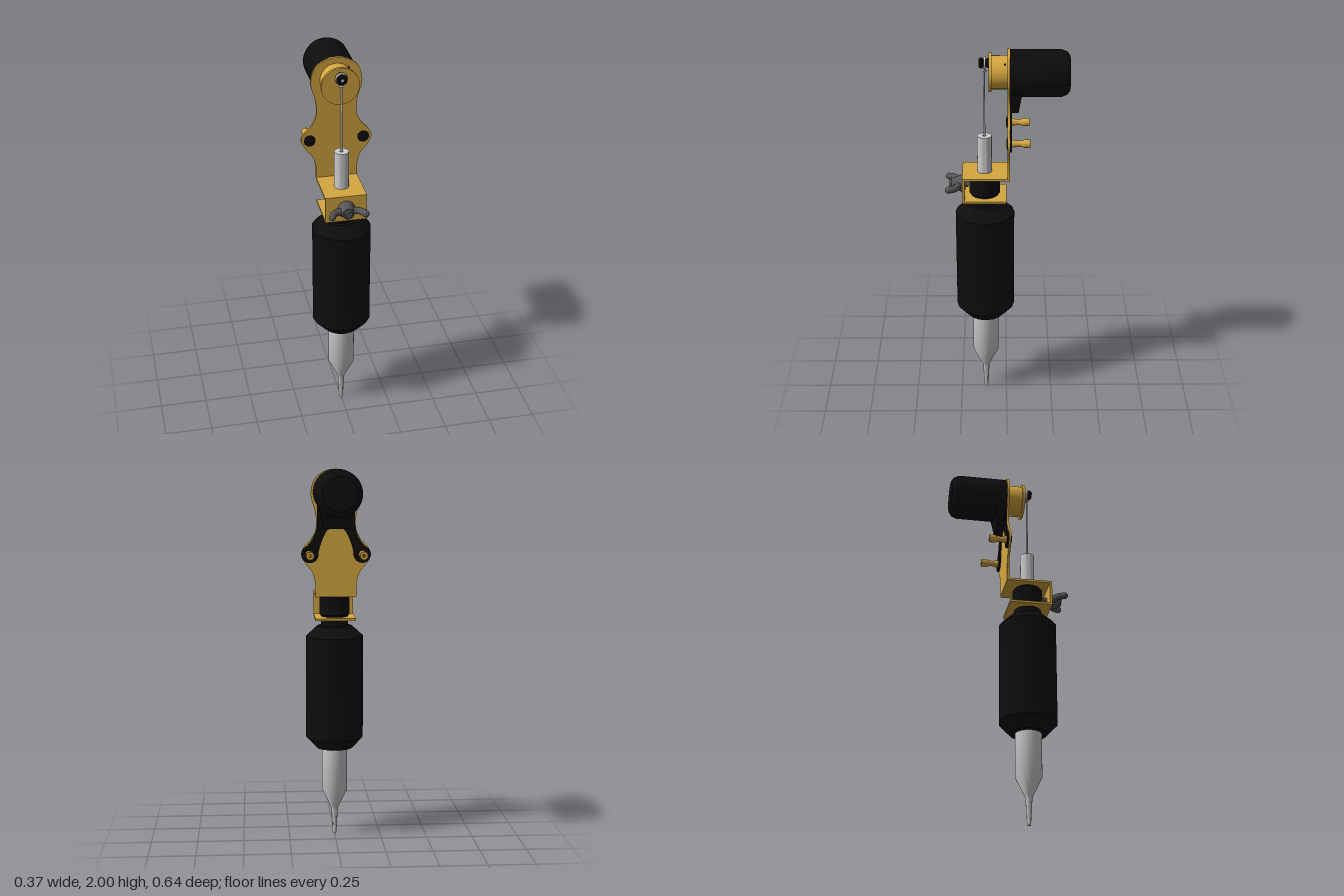
import * as THREE from 'three';
import { toCreasedNormals } from 'three/addons/utils/BufferGeometryUtils.js';

const mat = (color) => new THREE.MeshStandardMaterial({ color });
const V2 = (p) => new THREE.Vector2(p[0], p[1]);
const V3 = (p) => new THREE.Vector3(...p);

export function createModel() {
  const root = new THREE.Group();
  const gold = mat(0xd6a740), black = mat(0x0d0d0d), steel = mat(0xcccccc), darkSteel = mat(0x555555);
  const AXIS_Z = 0.114; // z of the grip and needle axis

  function add(name, geo, material, x = 0, y = 0, z = 0, parent = root) {
    const m = new THREE.Mesh(geo, material);
    m.name = name;
    m.position.set(x, y, z);
    parent.add(m);
    return m;
  }
  // turned part: [radius, height] pairs from bottom to top
  const turned = (pts, seg = 32) =>
    toCreasedNormals(new THREE.LatheGeometry(pts.map(V2), seg), 0.5);
  // turned part lying along z: [radius, z] pairs from back to front
  const turnedZ = (pts, seg = 32) => turned(pts, seg).rotateX(Math.PI / 2);
  const plate = (shape, depth) =>
    toCreasedNormals(new THREE.ExtrudeGeometry(shape, { depth, bevelEnabled: false, curveSegments: 20 }), 0.5);
  const tube = (pts, r, n = 24, sides = 12) =>
    new THREE.TubeGeometry(new THREE.CatmullRomCurve3(pts.map(V3)), n, r, sides);

  // Tip, grip and neck on the needle axis
  add('tip', turned([[0, 0], [0.009, 0], [0.012, 0.03], [0.018, 0.14], [0.022, 0.155],
    [0.07, 0.255], [0.07, 0.5], [0, 0.5]]), steel, 0, 0, AXIS_Z);
  add('grip', turned([[0, 0.49], [0.1, 0.49], [0.155, 0.55], [0.155, 1.105], [0.095, 1.16], [0, 1.16]], 16),
    black, 0, 0, AXIS_Z);
  add('neck', turned([[0, 1.15], [0.072, 1.15], [0.072, 1.2], [0.072, 1.225], [0, 1.225]]), black, 0, 0, AXIS_Z);
  add('collar', turned([[0, 1.214], [0.07, 1.214], [0.08, 1.224], [0.08, 1.318], [0.07, 1.329], [0, 1.329]]),
    black, 0, 0, AXIS_Z);
  add('needleSleeve', turned([[0, 1.33], [0.038, 1.33], [0.038, 1.54], [0.01, 1.54], [0, 1.53]]),
    steel, 0, 0, AXIS_Z);

  // Needle bar with eye and twisted loop
  add('needleBar', new THREE.CylinderGeometry(0.005, 0.005, 0.4, 12), steel, 0, 1.71, AXIS_Z);
  add('needleEye', new THREE.TorusGeometry(0.026, 0.006, 10, 28), steel, 0, 1.935, 0.11);
  const twist = add('needleTwist', new THREE.TorusGeometry(0.009, 0.005, 8, 20), steel, 0, 1.895, 0.112);
  twist.rotation.x = Math.PI / 2 - 0.35;

  // Clamp bracket: bent sheet folded from the back plate
  const W = 0.216, T = 0.012;
  add('clampTop', new THREE.BoxGeometry(W, T, 0.247), gold, 0, 1.335, 0.1065);
  add('clampBottom', new THREE.BoxGeometry(W, T, 0.23), gold, 0, 1.206, 0.115);
  add('clampFront', new THREE.BoxGeometry(W, 0.141, T), gold, 0, 1.2705, 0.224);

  // Back plate with two ears
  const half = [[0.108, 1.4], [0.125, 1.46], [0.165, 1.512], [0.183, 1.555], [0.167, 1.597], [0.128, 1.64],
    [0.104, 1.7], [0.11, 1.78], [0.132, 1.865], [0.114, 1.945], [0.06, 1.989]];
  const mirrored = half.slice().reverse().map(([x, y]) => [-x, y]);
  const outline = new THREE.Shape();
  outline.moveTo(-0.108, 1.329);
  outline.lineTo(0.108, 1.329);
  outline.lineTo(0.108, 1.4);
  outline.splineThru([...half.slice(1), [0, 2], ...mirrored].map(V2));
  outline.closePath();
  add('backPlate', plate(outline, 0.012), gold, 0, 0, -0.017);

  // Motor housing with its tapered foot
  add('motor', turnedZ([[0, -0.32], [0.088, -0.32], [0.108, -0.306], [0.12, -0.276], [0.12, -0.017], [0, -0.017]], 40),
    black, 0, 1.88, 0);
  const foot = new THREE.Shape([[0.017, 1.8], [0.017, 1.69], [0.06, 1.69], [0.078, 1.8]].map(V2));
  const footGeo = new THREE.ExtrudeGeometry(foot, { depth: 0.13, bevelEnabled: false });
  footGeo.translate(0, 0, -0.065).rotateY(Math.PI / 2); // profile runs toward the back
  const fp = footGeo.attributes.position;
  for (let i = 0; i < fp.count; i++) if (fp.getY(i) > 1.75) fp.setX(i, fp.getX(i) * 1.4);
  footGeo.computeVertexNormals();
  add('motorFoot', footGeo, black);

  // Yoke arms running from the motor down to the ears
  const EX = 0.138, EY = 1.555;
  const yoke = new THREE.Shape();
  yoke.moveTo(0, 1.82);
  yoke.lineTo(-0.1, 1.82);
  yoke.lineTo(-0.1, 1.71);
  yoke.quadraticCurveTo(-0.105, 1.645, -0.155, 1.597);
  yoke.absarc(-EX, EY, 0.045, 1.96, Math.PI * 2 + 0.1, false);
  yoke.quadraticCurveTo(-0.085, 1.61, -0.055, 1.67);
  yoke.quadraticCurveTo(-0.04, 1.695, 0, 1.695);
  yoke.quadraticCurveTo(0.04, 1.695, 0.055, 1.67);
  yoke.quadraticCurveTo(0.085, 1.61, EX - 0.0448, EY + 0.0045);
  yoke.absarc(EX, EY, 0.045, Math.PI - 0.1, Math.PI * 2 + 1.18, false);
  yoke.quadraticCurveTo(0.105, 1.645, 0.1, 1.71);
  yoke.lineTo(0.1, 1.82);
  yoke.closePath();
  add('motorYoke', plate(yoke, 0.009), black, 0, 0, -0.026);

  // Terminal posts and their insulating washers
  for (const s of [-1, 1]) {
    const post = new THREE.Group();
    post.name = s > 0 ? 'leftTerminal' : 'rightTerminal';
    post.position.set(s * 0.14, EY, 0);
    root.add(post);
    add('post', turnedZ([[0, -0.11], [0.008, -0.11], [0.008, -0.12], [0.021, -0.12], [0.021, -0.088], [0.016, -0.078],
      [0.015, -0.055], [0.02, -0.032], [0.02, -0.02], [0, -0.02]], 24), gold, 0, 0, 0, post);
    add('washer', turnedZ([[0, -0.01], [0.031, -0.01], [0.031, -0.003], [0.018, 0.002], [0.013, 0.002],
      [0.012, -0.002], [0, -0.002]], 24), black, 0, 0, 0, post);
    add('postHole', new THREE.CylinderGeometry(0.003, 0.003, 0.043, 10), black, 0, 0, -0.108, post);
  }

  // Cam wheel with set screw and crank pin
  add('camWheel', turnedZ([[0, -0.01], [0.085, -0.01], [0.085, 0.075], [0.098, 0.075], [0.098, 0.09], [0, 0.09]], 40),
    gold, 0, 1.885, 0);
  const screw = add('camScrew', new THREE.CylinderGeometry(0.005, 0.005, 0.01, 12), black, 0.058, 1.947, 0.007);
  screw.rotation.z = -0.75;
  add('crankPin', turnedZ([[0, 0.085], [0.026, 0.085], [0.026, 0.094], [0.018, 0.106], [0.018, 0.116], [0.028, 0.124],
    [0.028, 0.129], [0.02, 0.14], [0.009, 0.14], [0.009, 0.135], [0, 0.135]], 16), black, 0, 1.935, 0);
  add('crankPinCore', new THREE.CylinderGeometry(0.008, 0.008, 0.01, 16).rotateX(Math.PI / 2),
    steel, 0, 1.935, 0.133);

  // Wing nut on the clamp screw
  const nut = new THREE.Group();
  nut.name = 'wingNut';
  nut.position.y = 1.27;
  root.add(nut);
  add('nutHub', turnedZ([[0, 0.228], [0.046, 0.228], [0.046, 0.236], [0.034, 0.262], [0.03, 0.288], [0, 0.288]]),
    darkSteel, 0, 0, 0, nut);
  add('clampScrew', turnedZ([[0, 0.2], [0.022, 0.2], [0.022, 0.293], [0.018, 0.299], [0, 0.299]], 24),
    darkSteel, 0, 0, 0, nut);
  for (const s of [-1, 1]) {
    const wing = [[0, 0, 0.256], [s * 0.042, 0, 0.254], [s * 0.07, 0, 0.27], [s * 0.087, 0, 0.302]];
    add('wing', tube(wing, 0.018), darkSteel, 0, 0, 0, nut);
    add('wingEnd', new THREE.SphereGeometry(0.018, 16, 12), darkSteel, s * 0.087, 0, 0.302, nut);
  }
  return root;
}
